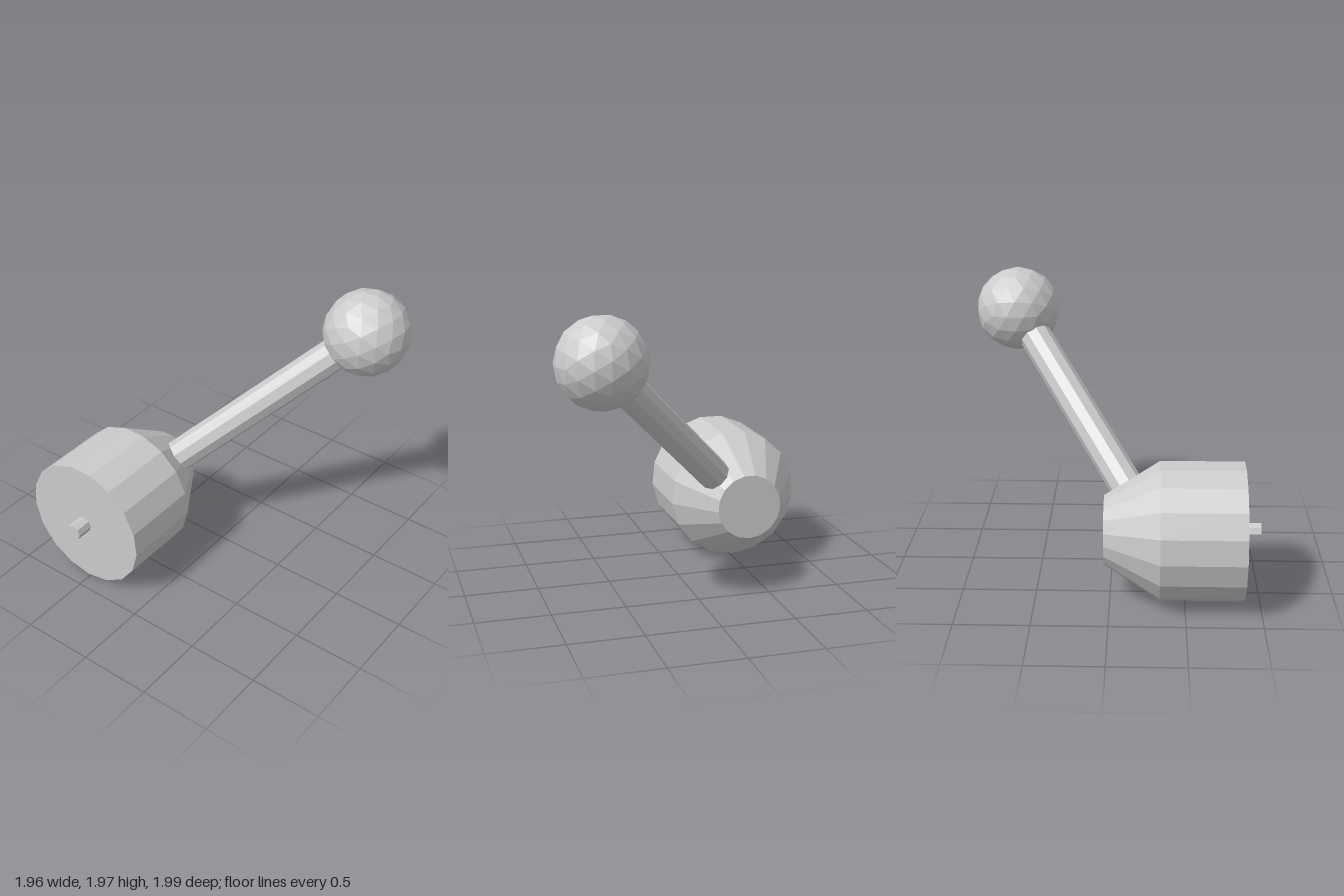
import * as THREE from 'three';

export function createModel() {
  const group = new THREE.Group();
  const material = new THREE.MeshStandardMaterial({ color: 0xcccccc, flatShading: true });

  const add = (name, geometry, position) => {
    const mesh = new THREE.Mesh(geometry, material);
    mesh.name = name;
    mesh.position.copy(position);
    group.add(mesh);
    return mesh;
  };

  // Hub: faceted drum, tapering to a smaller flat end at the back
  const hubCentre = new THREE.Vector3(-0.52, 0.466, 0);
  const profile = [[0, -0.04], [0.232, -0.04], [0.466, 0.33], [0.466, 0.885], [0, 0.885]]
    .map(([r, z]) => new THREE.Vector2(r, z));
  add('hub', new THREE.LatheGeometry(profile, 17).rotateX(Math.PI / 2), hubCentre);

  // Small pin at the centre of the front face
  const pin = new THREE.CylinderGeometry(0.057, 0.057, 0.15, 8).rotateX(Math.PI / 2);
  add('pin', pin, new THREE.Vector3(-0.52, 0.466, 0.925));

  // Ball knob
  const knobCentre = new THREE.Vector3(0.685, 1.675, -0.7);
  add('knob', new THREE.IcosahedronGeometry(0.298, 2), knobCentre);

  // Lever shaft, running from inside the hub to inside the knob
  const start = new THREE.Vector3(-0.51, 0.475, 0.28);
  const axis = knobCentre.clone().sub(start);
  const shaft = add('shaft', new THREE.CylinderGeometry(0.115, 0.115, axis.length(), 10),
    start.clone().add(knobCentre).multiplyScalar(0.5));
  shaft.quaternion.setFromUnitVectors(new THREE.Vector3(0, 1, 0), axis.normalize());

  return group;
}
